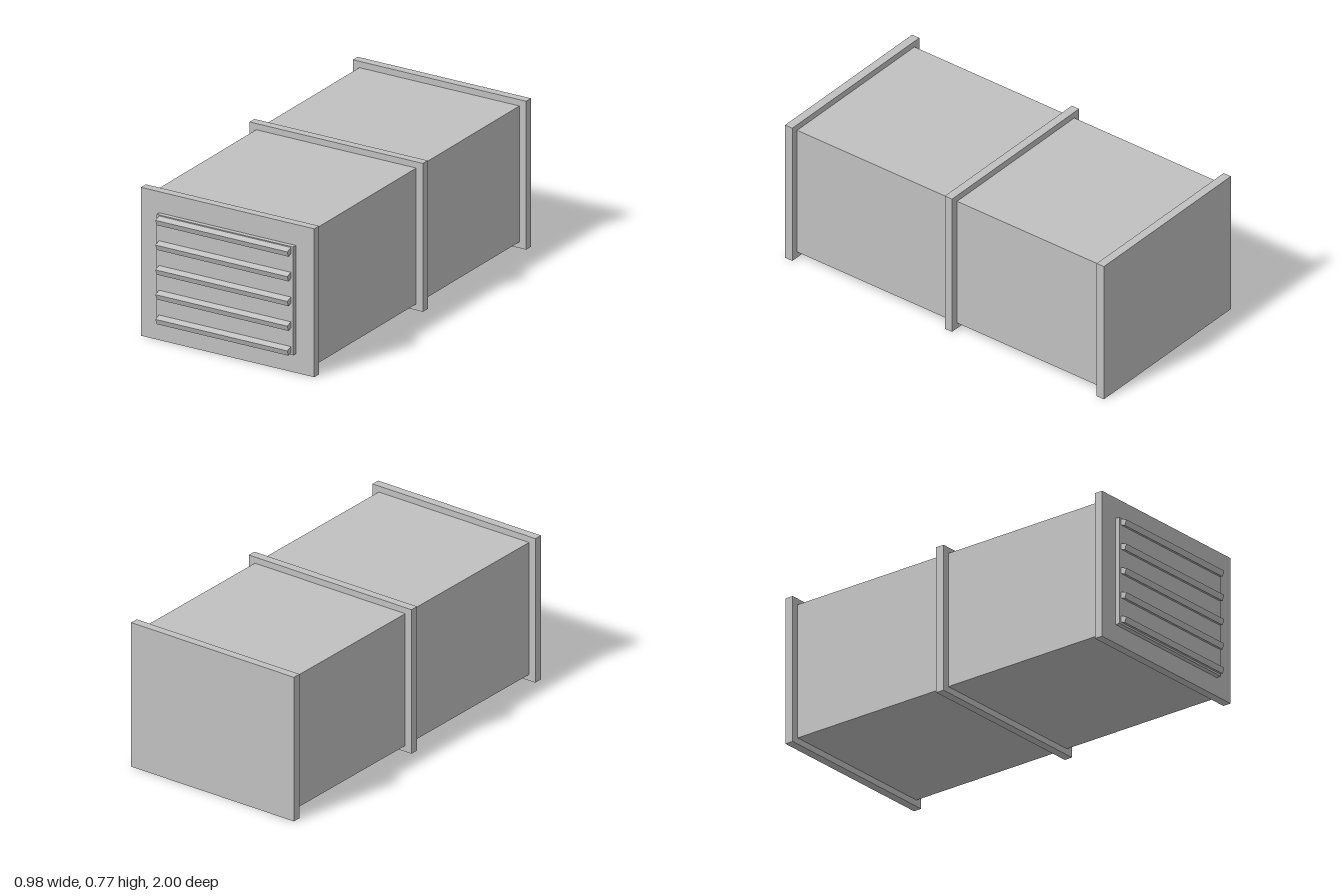
import * as THREE from 'three';

export function createModel() {
  const model = new THREE.Group();
  const metal = new THREE.MeshStandardMaterial({ color: 0xc0c0c0 });
  metal.name = 'galvanised grey';

  const addBox = (name, size, position) => {
    const mesh = new THREE.Mesh(new THREE.BoxGeometry(...size), metal);
    mesh.name = name;
    mesh.position.set(...position);
    model.add(mesh);
    return mesh;
  };

  const centreY = 0.383;

  // Duct body in two sections, between the flanges
  addBox('frontDuct', [0.905, 0.703, 0.93], [0, centreY, 0.435]);
  addBox('rearDuct', [0.905, 0.703, 0.88], [0, centreY, -0.515]);

  // Joining flanges at the front, middle and back
  const flanges = { frontFlange: 0.922, middleFlange: -0.052, rearFlange: -0.978 };
  for (const [name, z] of Object.entries(flanges)) {
    addBox(name, [0.98, 0.767, 0.044], [0, centreY, z]);
  }

  // Raised grille panel
  addBox('grillePanel', [0.772, 0.56, 0.036], [0, 0.378, 0.95]);

  // Five louvre slats sloping down toward the front
  for (let i = 0; i < 5; i++) {
    const slat = addBox(`louvre${i + 1}`, [0.746, 0.03, 0.05], [0, 0.6355 - i * 0.128, 0.9714]);
    slat.rotation.x = THREE.MathUtils.degToRad(20);
  }

  return model;
}
